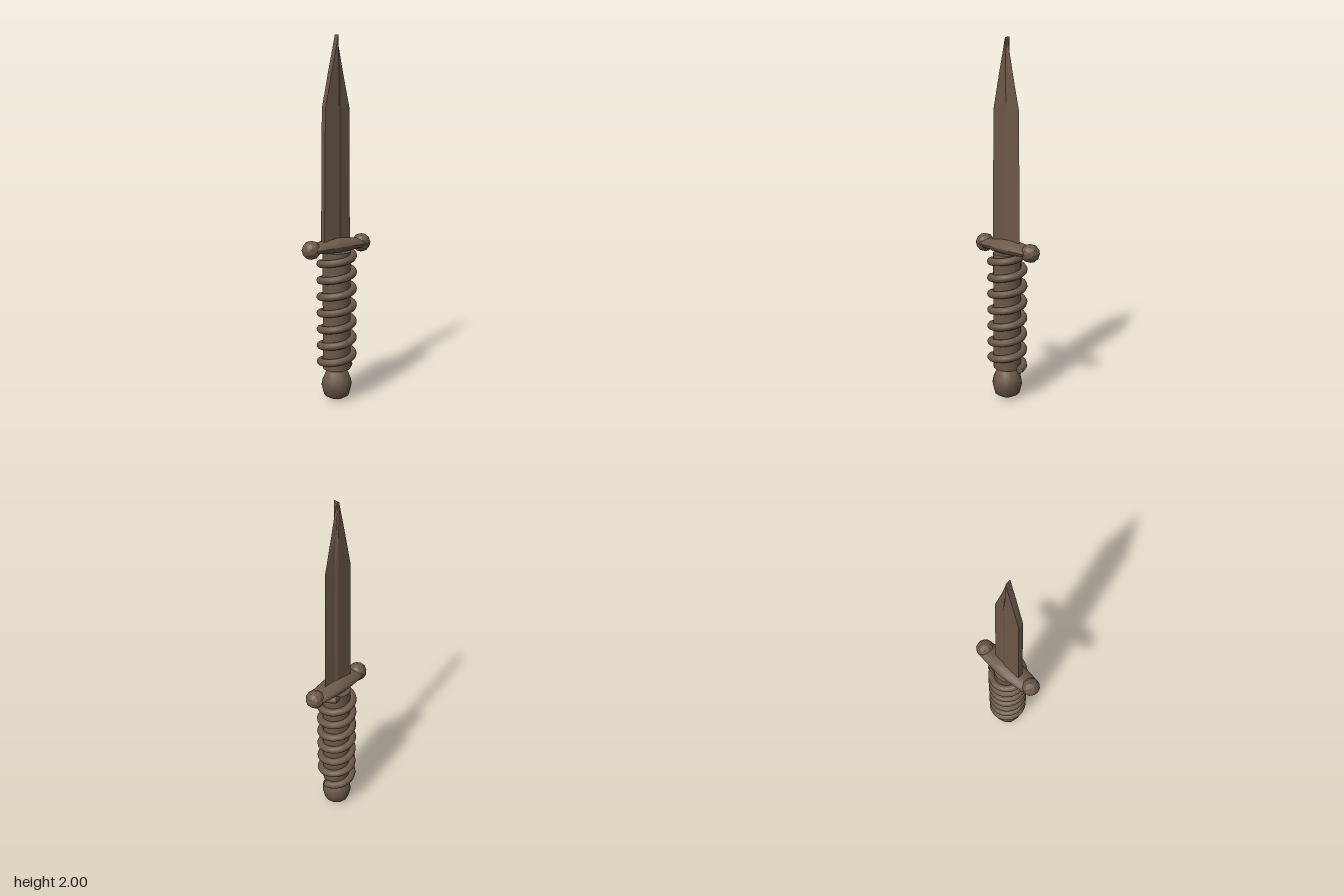
import * as THREE from 'three';

const bronze = new THREE.MeshStandardMaterial({ color: 0x6b5849 });
bronze.name = 'dark bronze';
const facetedBronze = bronze.clone();
facetedBronze.flatShading = true;

function add(group, name, geometry, material = bronze) {
  const mesh = new THREE.Mesh(geometry, material);
  mesh.name = name;
  group.add(mesh);
  return mesh;
}

// Single-edged blade: thick spine on the -x side, ground to an edge on +x
function bladeGeometry() {
  const t = 0.016;
  const stations = [ // y, spine x, ridge x, edge x
    [0.87, -0.093, 0.005, 0.09],
    [1.62, -0.085, 0.005, 0.084],
    [1.82, -0.042, 0.003, 0.038],
    [1.94, -0.014, 0.0, 0.013],
    [2.0, -0.001, 0.0, 0.001],
  ];
  const positions = [];
  const index = [];
  for (const [y, back, ridge, edge] of stations) {
    const bevel = ridge + (edge - ridge) * 0.25;
    positions.push(back, y, t, ridge, y, t, bevel, y, t * 0.5, edge, y, 0,
      bevel, y, -t * 0.5, ridge, y, -t, back, y, -t);
  }
  const n = 7;
  for (let s = 0; s < stations.length - 1; s++) {
    for (let i = 0; i < n; i++) {
      const a = s * n + i, b = s * n + (i + 1) % n;
      index.push(a, b, b + n, a, b + n, a + n);
    }
  }
  const top = (stations.length - 1) * n;
  for (let i = 1; i < n - 1; i++) {
    index.push(0, i + 1, i);
    index.push(top, top + i, top + i + 1);
  }
  const geometry = new THREE.BufferGeometry();
  geometry.setAttribute('position', new THREE.Float32BufferAttribute(positions, 3));
  geometry.setIndex(index);
  const flat = geometry.toNonIndexed();
  flat.computeVertexNormals();
  return flat;
}

const profile = (points) => points.map(([r, y]) => new THREE.Vector2(r, y));

export function createModel() {
  const model = new THREE.Group();
  model.name = 'dagger';

  add(model, 'blade', bladeGeometry(), facetedBronze);

  // Crossguard: flattened bar, swollen in the middle, with faceted end balls
  const guard = new THREE.LatheGeometry(profile([
    [0, -0.17], [0.05, -0.17], [0.056, -0.13], [0.065, -0.05], [0.068, 0],
    [0.065, 0.05], [0.056, 0.13], [0.05, 0.17], [0, 0.17],
  ]), 20);
  guard.rotateZ(-Math.PI / 2);
  const p = guard.attributes.position;
  for (let i = 0; i < p.count; i++) {
    const x = Math.abs(p.getX(i));
    p.setY(i, 0.88 - 0.04 * x + p.getY(i) * (0.63 - x));
  }
  guard.computeVertexNormals();
  add(model, 'crossguard', guard);
  for (const side of [-1, 1]) {
    const ball = add(model, side > 0 ? 'leftGuardBall' : 'rightGuardBall',
      new THREE.IcosahedronGeometry(0.052, 1), facetedBronze);
    ball.position.set(side * 0.168, 0.872, 0);
  }

  // Grip core
  const grip = add(model, 'grip', new THREE.CylinderGeometry(0.077, 0.077, 0.665, 24));
  grip.position.y = 0.5125;

  // Cord wound around the grip, rising from the +x side around the back
  const turns = 7.15, pitch = 0.093, path = [];
  for (let i = 0; i <= turns * 16; i++) {
    const a = (i / 16) * Math.PI * 2;
    path.push(new THREE.Vector3(0.09 * Math.cos(a), 0.18 + (pitch * i) / 16, -0.09 * Math.sin(a)));
  }
  add(model, 'gripCord', new THREE.TubeGeometry(new THREE.CatmullRomCurve3(path), 300, 0.021, 10));
  for (const end of [path[0], path[path.length - 1]]) {
    const cap = add(model, 'cordEnd', new THREE.SphereGeometry(0.02, 10, 6));
    cap.position.copy(end);
    cap.scale.z = 0.3;
  }

  // Pommel
  add(model, 'pommel', new THREE.LatheGeometry(profile([
    [0, 0], [0.035, 0.005], [0.07, 0.025], [0.085, 0.085], [0.078, 0.12],
    [0.06, 0.16], [0.035, 0.182], [0, 0.185],
  ]), 12));

  return model;
}
